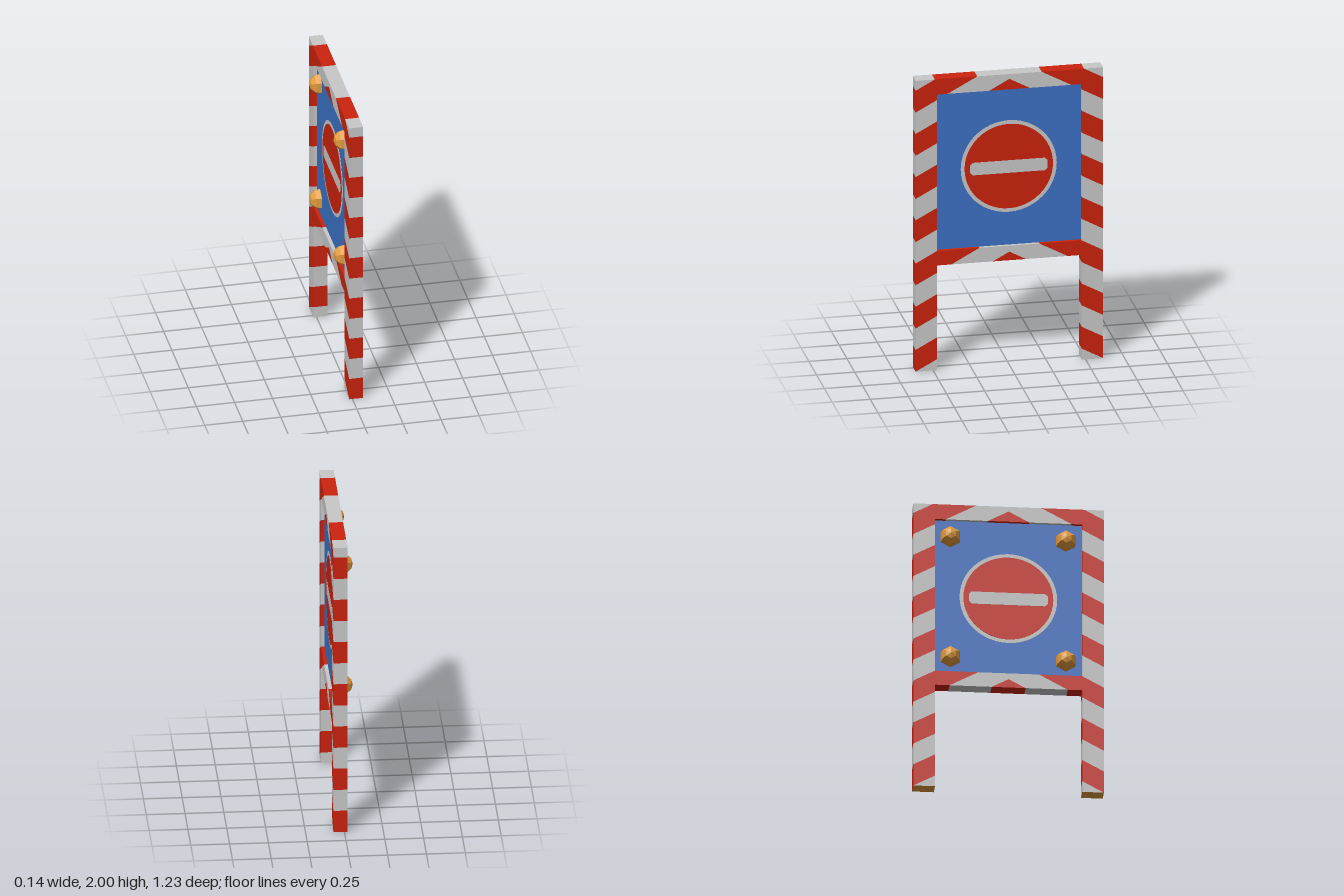
import * as THREE from 'three';

const red = new THREE.MeshStandardMaterial({ color: 0xcc220d });
const grey = new THREE.MeshStandardMaterial({ color: 0xc8c8c8 });
const blue = new THREE.MeshStandardMaterial({ color: 0x3b70c4 });
const amber = new THREE.MeshStandardMaterial({ color: 0xdf993c });
red.name = 'signal red';
grey.name = 'light grey';
blue.name = 'panel blue';
amber.name = 'amber';

const X0 = -0.021, X1 = 0.071;           // frame thickness along x
const SLOPE = 0.54, PERIOD = 0.297, BAND = 0.15;
const OUTER = 0.615, INNER = 0.475;      // leg edges along z

// Keep the part of a convex polygon where sign * (y + SLOPE * u - limit) >= 0
function clip(poly, limit, sign) {
  const out = [];
  const dist = ([u, y]) => sign * (y + SLOPE * u - limit);
  poly.forEach((a, i) => {
    const b = poly[(i + 1) % poly.length];
    const da = dist(a), db = dist(b);
    if (da >= 0) out.push(a);
    if (da * db < 0) {
      const t = da / (da - db);
      out.push([a[0] + (b[0] - a[0]) * t, a[1] + (b[1] - a[1]) * t]);
    }
  });
  return out;
}

// Push a planar convex polygon as a fan of triangles
function fan(target, pts) {
  for (let i = 1; i < pts.length - 1; i++) target.push(...pts[0], ...pts[i], ...pts[i + 1]);
}

// Extrude one stripe piece; u runs along -z. Seams between stripes stay open.
function addPiece(target, feet, poly, isBeam) {
  fan(target, poly.map(([u, y]) => [X1, y, -u]));
  fan(target, poly.map(([u, y]) => [X0, y, -u]).reverse());
  poly.forEach((a, i) => {
    const b = poly[(i + 1) % poly.length];
    const vertical = Math.abs(a[0] - b[0]) < 1e-6;
    const level = Math.abs(a[1] - b[1]) < 1e-6;
    if ((!vertical && !level) || (vertical && isBeam)) return;
    const side = level && a[1] < 1e-6 ? feet : target;
    fan(side, [[X1, a[1], -a[0]], [X0, a[1], -a[0]], [X0, b[1], -b[0]], [X1, b[1], -b[0]]]);
  });
}

// A rectangular frame member cut into slanting stripes, mirrored to both sides
function stripedMember(name, u0, u1, y0, y1, isBeam) {
  const group = new THREE.Group();
  group.name = name;
  const reds = [], greys = [], feet = [];
  const rect = [[u0, y0], [u1, y0], [u1, y1], [u0, y1]];
  const start = SLOPE * OUTER;
  for (let k = -2; k < 8; k++) {
    const low = start + k * PERIOD;
    const spans = [[reds, low, low + BAND], [greys, low + BAND, low + PERIOD]];
    for (const [target, from, to] of spans) {
      const poly = clip(clip(rect, from, 1), to, -1);
      if (poly.length < 3) continue;
      addPiece(target, feet, poly, isBeam);
      addPiece(target, feet, poly.map(([u, y]) => [-u, y]).reverse(), isBeam);
    }
  }
  const parts = [['RedStripes', reds, red], ['GreyStripes', greys, grey], ['Feet', feet, amber]];
  for (const [label, data, material] of parts) {
    if (!data.length) continue;
    const geometry = new THREE.BufferGeometry();
    geometry.setAttribute('position', new THREE.Float32BufferAttribute(data, 3));
    geometry.computeVertexNormals();
    const mesh = new THREE.Mesh(geometry, material);
    mesh.name = name + label;
    group.add(mesh);
  }
  return group;
}

export function createModel() {
  const model = new THREE.Group();
  model.name = 'roadBarrierSign';
  const add = (name, geometry, material, x, y, z) => {
    const mesh = new THREE.Mesh(geometry, material);
    mesh.name = name;
    mesh.position.set(x, y, z);
    model.add(mesh);
  };

  // Striped frame
  model.add(stripedMember('legs', INNER, OUTER, 0, 2, false));
  model.add(stripedMember('topBeam', 0, INNER, 1.895, 2, true));
  model.add(stripedMember('lowerBeam', 0, INNER, 0.72, 0.82, true));

  // Recessed panel
  const px = 0.025, depth = 0.046;
  add('panel', new THREE.BoxGeometry(depth, 1.075, INNER * 2), blue, px, 1.3575, 0);

  // Round sign, showing on both faces of the panel
  const disc = (radius, extra) =>
    new THREE.CylinderGeometry(radius, radius, depth + extra, 48).rotateZ(Math.PI / 2);
  add('signRim', disc(0.315, 0.003), grey, px, 1.36, 0);
  add('signDisc', disc(0.29, 0.006), red, px, 1.36, 0);

  // Bar with clipped corners
  const w = 0.255, h = 0.043, c = 0.018;
  const bar = new THREE.Shape([
    [-w + c, -h], [w - c, -h], [w, -h + c], [w, h - c],
    [w - c, h], [-w + c, h], [-w, h - c], [-w, -h + c],
  ].map(([x, y]) => new THREE.Vector2(x, y)));
  const barDepth = depth + 0.009;
  const barGeometry = new THREE.ExtrudeGeometry(bar, { depth: barDepth, bevelEnabled: false })
    .translate(0, 0, -barDepth / 2).rotateY(Math.PI / 2);
  add('signBar', barGeometry, grey, px, 1.357, 0);

  // Faceted warning lamps on the back of the panel
  const lamp = new THREE.SphereGeometry(0.072, 6, 3, 0, Math.PI * 2, 0, Math.PI / 2)
    .rotateZ(Math.PI / 2).toNonIndexed();
  lamp.computeVertexNormals();
  for (const y of [0.93, 1.78]) {
    for (const z of [-0.375, 0.37]) add('warningLamp', lamp, amber, 0.001, y, z);
  }
  return model;
}
